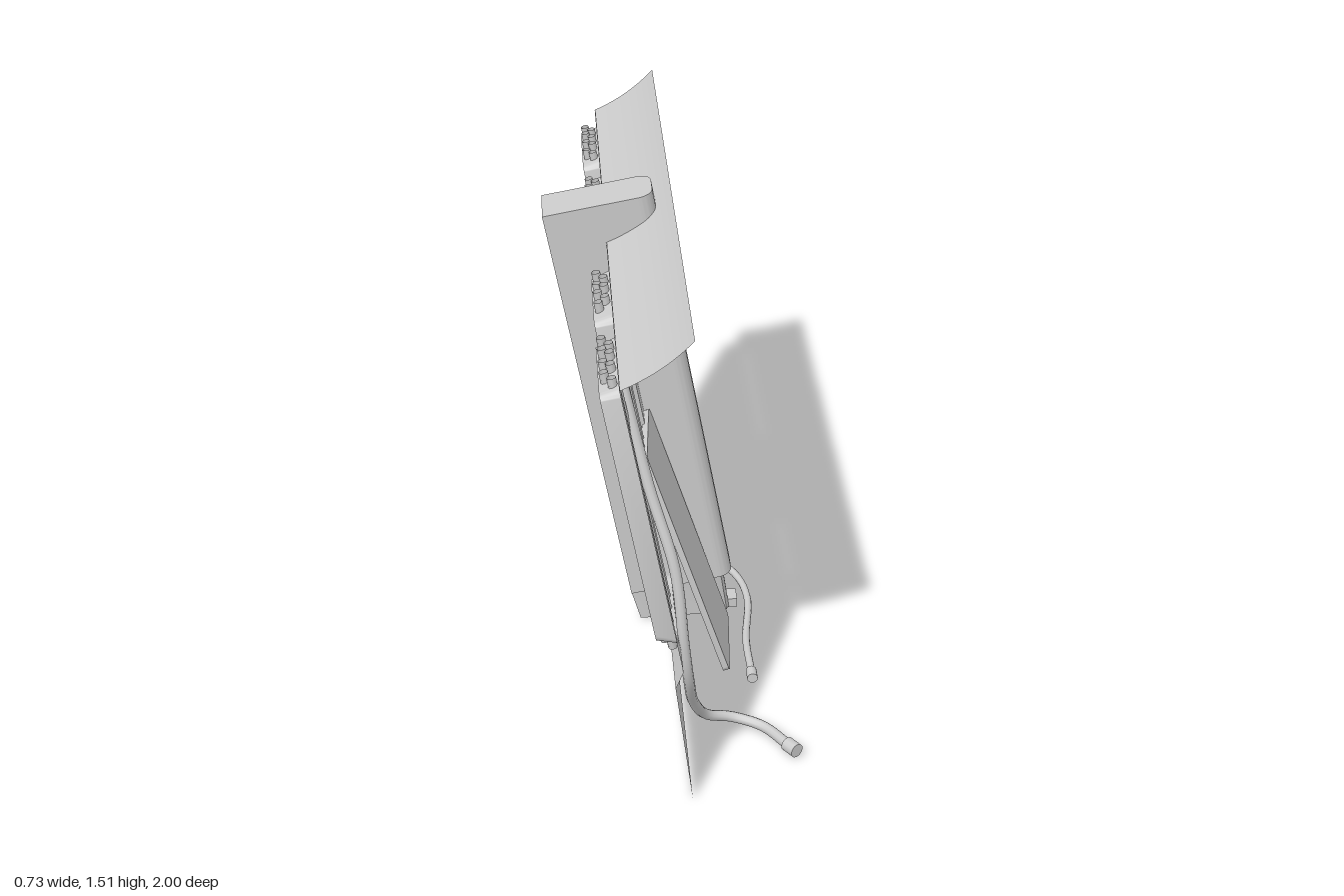
import * as THREE from 'three';
import { toCreasedNormals } from 'three/addons/utils/BufferGeometryUtils.js';

const TILT = 0.187; // everything leans back by this angle
const solid = new THREE.MeshStandardMaterial({ color: 0xcccccc });
const sheet = new THREE.MeshStandardMaterial({ color: 0xcccccc, side: THREE.DoubleSide });
const V = (p) => new THREE.Vector3(...p);

function add(parent, name, geometry, material = solid) {
  const mesh = new THREE.Mesh(geometry, material);
  mesh.name = name;
  parent.add(mesh);
  return mesh;
}

// Surface between two equally long rows of points
function loft(rowA, rowB) {
  const pos = [...rowA, ...rowB].flat();
  const index = [], n = rowA.length;
  for (let i = 0; i < n - 1; i++) index.push(i, i + 1, n + i, i + 1, n + i + 1, n + i);
  const g = new THREE.BufferGeometry();
  g.setAttribute('position', new THREE.Float32BufferAttribute(pos, 3));
  g.setIndex(index);
  g.computeVertexNormals();
  return toCreasedNormals(g, 0.5);
}

// Sheet with an x, y profile spanning the whole width
const strip = (profile) => loft(profile.map(([x, y]) => [x, y, 1]), profile.map(([x, y]) => [x, y, -1]));

function roundedRect(target, x0, y0, x1, y1, r) {
  target.moveTo(x0 + r, y0);
  target.lineTo(x1 - r, y0);
  target.absarc(x1 - r, y0 + r, r, -Math.PI / 2, 0);
  target.lineTo(x1, y1 - r);
  target.absarc(x1 - r, y1 - r, r, 0, Math.PI / 2);
  target.lineTo(x0 + r, y1);
  target.absarc(x0 + r, y1 - r, r, Math.PI / 2, Math.PI);
  target.lineTo(x0, y0 + r);
  target.absarc(x0 + r, y0 + r, r, Math.PI, Math.PI * 1.5);
  return target;
}

// Hose with a connector on its loose end
function hose(parent, name, points, radius) {
  const group = new THREE.Group();
  group.name = name;
  const curve = new THREE.CatmullRomCurve3(points.map(V));
  add(group, 'hoseTube', new THREE.TubeGeometry(curve, 90, radius, 10));
  const end = add(group, 'hoseConnector', new THREE.CylinderGeometry(radius * 1.4, radius * 1.4, 0.045, 12));
  const dir = curve.getTangent(1);
  end.quaternion.setFromUnitVectors(new THREE.Vector3(0, 1, 0), dir);
  end.position.copy(curve.getPoint(1)).addScaledVector(dir, 0.015);
  parent.add(group);
}

export function createModel() {
  const model = new THREE.Group();
  model.name = 'hosePanel';

  // Lower apron, undercut step and curled top flare
  add(model, 'lowerPanel', strip([[0.024, 0.005], [-0.027, 0.4]]), sheet);
  add(model, 'panelStep', strip([[-0.027, 0.4], [-0.005, 0.455]]), sheet);
  const flare = new THREE.QuadraticBezierCurve(
    new THREE.Vector2(-0.175, 1.36), new THREE.Vector2(-0.06, 1.41), new THREE.Vector2(0.02, 1.5));
  add(model, 'topFlare', strip(flare.getPoints(10).map((p) => [p.x, p.y])), sheet);

  // Main panel with four openings, in its own leaning frame
  const panel = new THREE.Group();
  panel.name = 'mainPanel';
  panel.position.set(-0.005, 0.455, 0);
  panel.rotation.z = TILT;
  model.add(panel);
  const LOW = 0.05, HIGH = 0.89, HALF = 0.168, DEPTH = 0.06;
  const centres = [-0.777, -0.35, 0.35, 0.777];
  const face = new THREE.Shape([[-1, 0], [1, 0], [1, 0.921], [-1, 0.921]].map((p) => new THREE.Vector2(...p)));
  for (const c of centres) {
    face.holes.push(roundedRect(new THREE.Path(), c - HALF, LOW, c + HALF, HIGH, 0.03));
  }
  add(panel, 'panelFace', new THREE.ShapeGeometry(face, 6).rotateY(Math.PI / 2), sheet);

  // Tapered trays, each holding a bundle of slightly bowed pipes
  const outerRods = [-0.125, -0.095, -0.06, -0.03, 0.01, 0.045, 0.085, 0.125];
  const innerRods = [-0.115, -0.075, -0.045, -0.015, 0.02, 0.055, 0.1];
  centres.forEach((c, k) => {
    const tray = new THREE.Group();
    tray.name = 'tray' + (k + 1);
    tray.position.z = c;
    panel.add(tray);
    const inset = 0.015;
    const rim = roundedRect(new THREE.Shape(), -HALF, LOW, HALF, HIGH, 0.03);
    const floor = roundedRect(new THREE.Shape(), -HALF + inset, LOW + inset, HALF - inset, HIGH - inset, 0.025);
    const ring = (s, x) => {
      const pts = s.getPoints(6).map((p) => [x, p.y, -p.x]);
      return [...pts, pts[0]];
    };
    add(tray, 'trayWall', loft(ring(rim, 0), ring(floor, -DEPTH)), sheet);
    add(tray, 'trayBack', new THREE.ShapeGeometry(floor, 6).rotateY(Math.PI / 2).translate(-DEPTH, 0, 0), sheet);
    const rods = Math.abs(c) > 0.5 ? outerRods : innerRods;
    rods.forEach((z, i) => {
      const x = -0.03 + 0.01 * (i % 2 ? 1 : -1);
      const bow = 0.012 * Math.sin(i * 2.3 + k * 1.7);
      const top = z * 0.92 + bow * 0.5;
      const curve = new THREE.CatmullRomCurve3([
        V([x, LOW - 0.03, z * 0.95]), V([x, 0.3, z + bow]), V([x, 0.62, z + bow]), V([x, HIGH + 0.02, top])]);
      add(tray, 'pipe', new THREE.TubeGeometry(curve, 12, 0.013, 8), sheet);
    });
  });

  // Central pillar: square back, rounded front edges
  const W = 0.08, D = 0.333, R = 0.045;
  const section = new THREE.Shape();
  section.moveTo(0, -W);
  section.lineTo(D - R, -W);
  section.absarc(D - R, -W + R, R, -Math.PI / 2, 0);
  section.lineTo(D, W - R);
  section.absarc(D - R, W - R, R, 0, Math.PI / 2);
  section.lineTo(0, W);
  const pillarGeo = new THREE.ExtrudeGeometry(section, { depth: 1.367, bevelEnabled: false, curveSegments: 8 });
  pillarGeo.rotateX(-Math.PI / 2);
  const pillar = add(model, 'pillar', toCreasedNormals(pillarGeo, 0.6));
  pillar.position.set(-0.11, 0.104, 0);
  pillar.rotation.z = TILT;

  // Open-backed foot under the pillar
  const outline = [[0, -0.072], [0.87, -0.066], [0.97, -0.05], [1, -0.03], [1, 0.03], [0.97, 0.05], [0.87, 0.066], [0, 0.072]];
  add(model, 'foot', loft(
    outline.map(([t, z]) => [-0.11 + 0.3 * t, 0.104 + 0.056 * t, z]),
    outline.map(([t, z]) => [-0.08 + 0.293 * t, 0.002 + 0.008 * t, z])), sheet);
  const outlet = add(model, 'outlet', new THREE.BoxGeometry(0.07, 0.032, 0.06));
  outlet.position.set(0.205, 0.02, 0);

  // Loose board leaning against the panel
  const boardShape = roundedRect(new THREE.Shape(), -0.155, 0, 0.155, 0.82, 0.02);
  const boardGeo = new THREE.ExtrudeGeometry(boardShape, { depth: 0.02, bevelEnabled: false, curveSegments: 5 });
  boardGeo.rotateY(Math.PI / 2).translate(-0.01, 0, 0).rotateZ(0.32);
  const board = add(model, 'leaningBoard', toCreasedNormals(boardGeo, 0.6));
  board.position.set(0.185, 0.018, 0.255);
  board.rotation.y = -0.07;

  // Hoses pulled out of the outer trays
  hose(model, 'leftHose', [
    [-0.175, 1.3, 0.685], [-0.09, 0.94, 0.78], [-0.02, 0.7, 0.85], [0.005, 0.46, 0.88], [0.02, 0.33, 0.86],
    [0.045, 0.165, 0.755], [0.09, 0.07, 0.69], [0.165, 0.04, 0.665], [0.255, 0.028, 0.7], [0.325, 0.03, 0.8]], 0.016);
  hose(model, 'rightHose', [
    [-0.17, 1.3, -0.7], [-0.1, 1.05, -0.765], [-0.035, 0.73, -0.815], [0.02, 0.5, -0.825], [0.06, 0.38, -0.8],
    [0.085, 0.28, -0.74], [0.085, 0.17, -0.63], [0.075, 0.1, -0.5], [0.11, 0.045, -0.29], [0.24, 0.028, -0.145],
    [0.275, 0.025, 0], [0.25, 0.02, 0.24], [0.25, 0.025, 0.42]], 0.012);
  hose(model, 'shortHose', [
    [-0.17, 1.3, -0.89], [-0.07, 0.89, -0.81], [0.005, 0.48, -0.85], [0.03, 0.3, -0.87], [0.055, 0.13, -0.895]], 0.011);

  return model;
}
